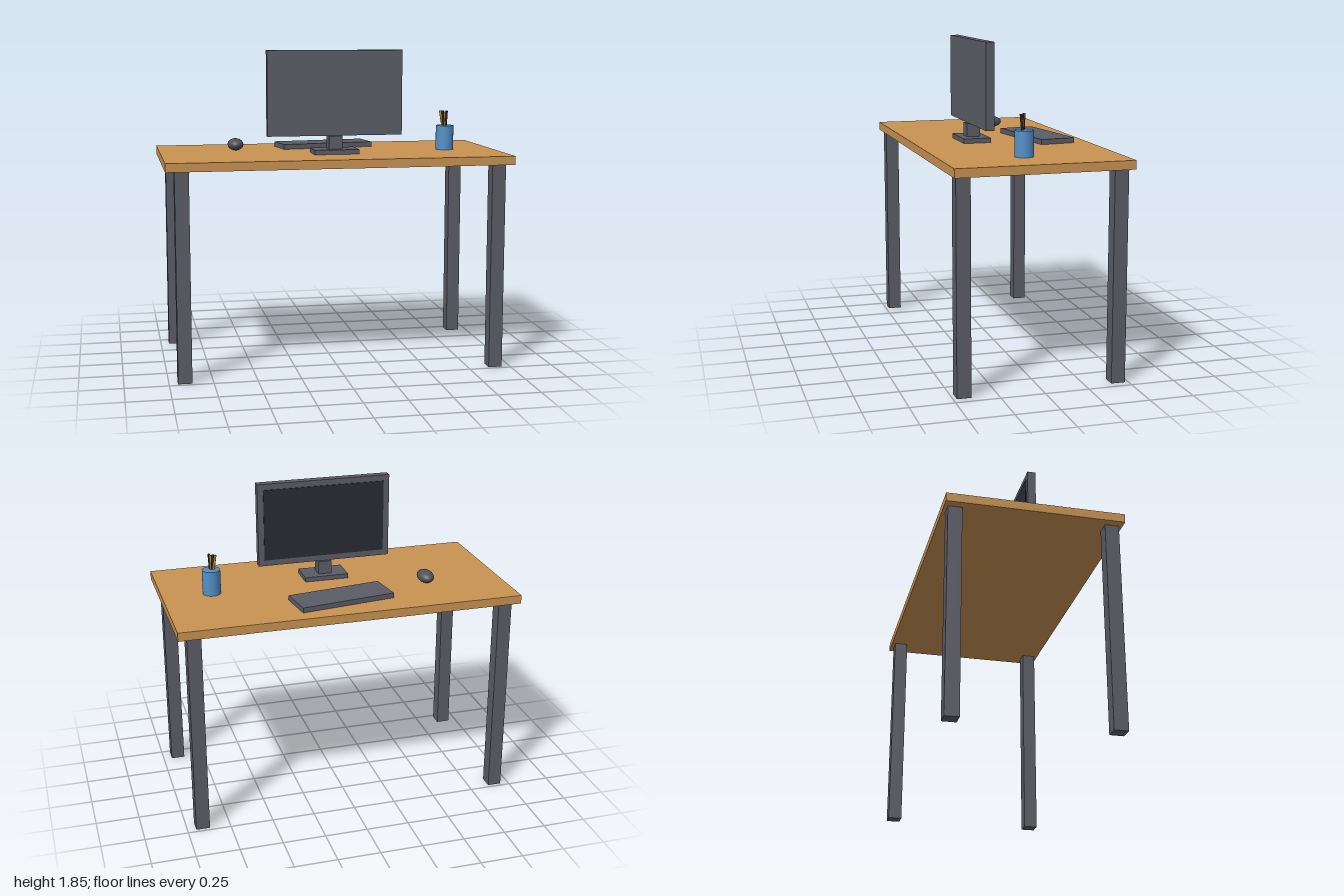
import * as THREE from 'three';

export function createModel() {
  const group = new THREE.Group();
  const mat = (name, color) => {
    const m = new THREE.MeshStandardMaterial({ color });
    m.name = name;
    return m;
  };
  const wood = mat('wood', 0xc99351);
  const grey = mat('slate grey', 0x5b5d67);
  const mouseGrey = mat('mouse grey', 0x50535a);
  const screenDark = mat('screen', 0x2b2c35);
  const blue = mat('cup blue', 0x5390c8);
  const black = mat('pen black', 0x25262b);
  const gold = mat('pencil gold', 0xc98a35);

  const add = (name, geometry, material, x, y, z) => {
    const mesh = new THREE.Mesh(geometry, material);
    mesh.name = name;
    mesh.position.set(x, y, z);
    group.add(mesh);
    return mesh;
  };
  const box = (name, w, h, d, material, x, y, z) =>
    add(name, new THREE.BoxGeometry(w, h, d), material, x, y, z);

  // Desk
  box('deskTop', 2, 0.05, 1, wood, 0, 1.225, 0);
  for (const x of [-0.91, 0.91])
    for (const z of [-0.44, 0.44]) box('leg', 0.08, 1.2, 0.08, grey, x, 0.6, z);

  // Monitor, with its screen towards the back
  box('monitorBase', 0.264, 0.027, 0.165, grey, 0.01, 1.2635, 0.138);
  box('monitorNeck', 0.08, 0.08, 0.08, grey, 0.01, 1.315, 0.138);
  box('monitorCase', 0.8, 0.497, 0.05, grey, 0.01, 1.6035, 0.138);
  box('screen', 0.73, 0.427, 0.006, screenDark, 0.01, 1.6035, 0.112);

  // Keyboard, turned slightly
  box('keyboard', 0.566, 0.03, 0.212, grey, 0.015, 1.265, -0.265).rotation.y = 0.142;

  // Mouse
  const mouse = new THREE.SphereGeometry(1, 24, 16);
  mouse.scale(0.047, 0.036, 0.075);
  add('mouse', mouse, mouseGrey, -0.544, 1.286, -0.132);

  // Cup and pens
  add('cup', new THREE.CylinderGeometry(0.053, 0.053, 0.145, 24), blue, 0.71, 1.3225, 0.035);
  const pens = [
    [gold, [0.699, 1.37, 0.036], [0.683, 1.483, 0.026]],
    [black, [0.704, 1.37, 0.04], [0.696, 1.483, 0.036]],
    [gold, [0.708, 1.37, 0.042], [0.708, 1.478, 0.048]],
    [black, [0.712, 1.37, 0.044], [0.716, 1.483, 0.056]],
  ];
  for (const [material, a, b] of pens) {
    const from = new THREE.Vector3(...a), to = new THREE.Vector3(...b);
    const dir = to.clone().sub(from);
    const mid = from.add(to).multiplyScalar(0.5);
    const pen = add('pen', new THREE.CylinderGeometry(0.007, 0.007, dir.length(), 8), material, mid.x, mid.y, mid.z);
    pen.quaternion.setFromUnitVectors(new THREE.Vector3(0, 1, 0), dir.normalize());
  }
  return group;
}
